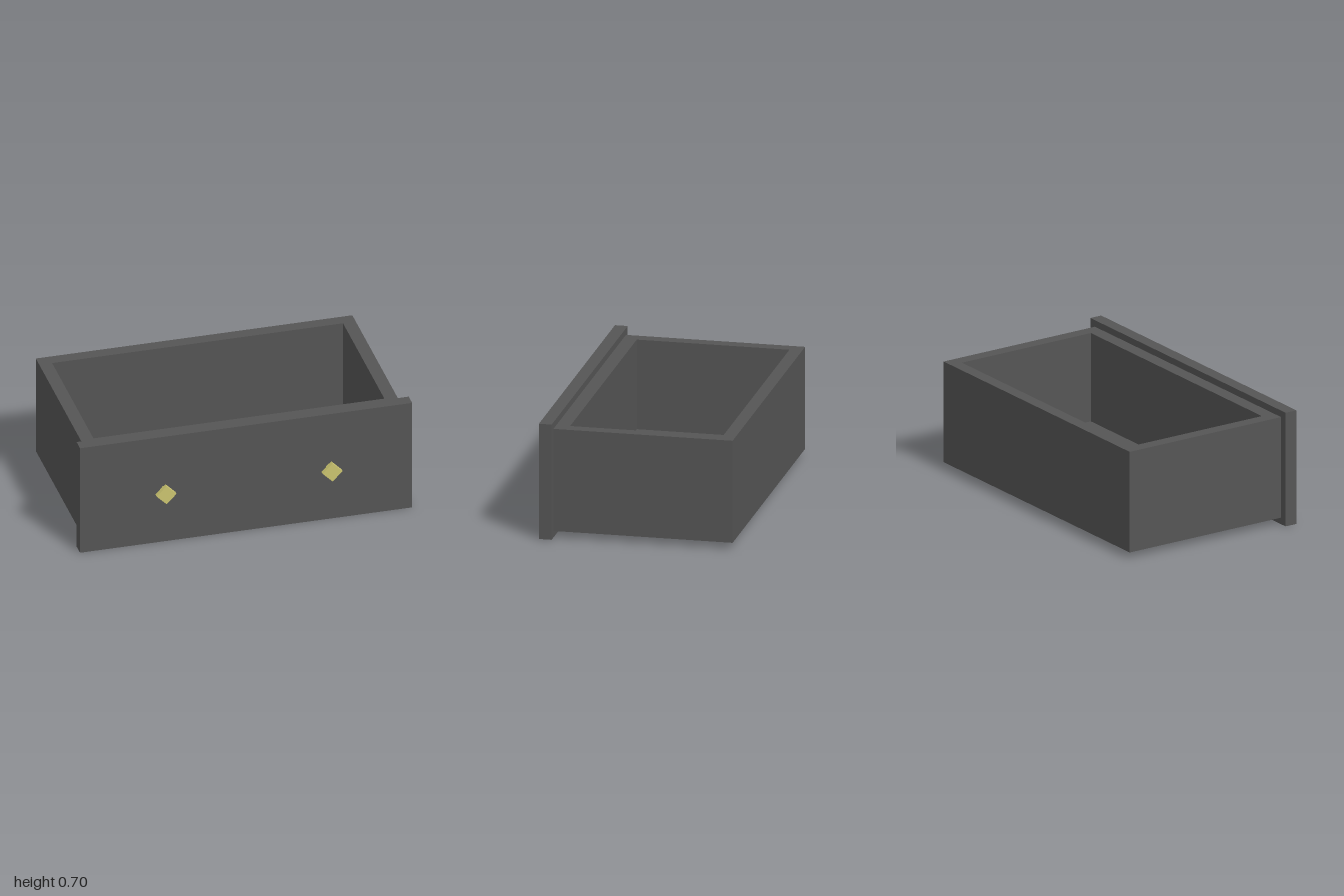
import * as THREE from 'three';

export function createModel() {
  const model = new THREE.Group();
  model.name = 'drawer';
  const grey = new THREE.MeshStandardMaterial({ color: 0x555555 });
  grey.name = 'dark grey';
  const brass = new THREE.MeshStandardMaterial({ color: 0xcbc470 });
  brass.name = 'pale brass';
  brass.flatShading = true;

  const add = (parent, name, geometry, material, x, y, z) => {
    const mesh = new THREE.Mesh(geometry, material);
    mesh.name = name;
    mesh.position.set(x, y, z);
    parent.add(mesh);
    return mesh;
  };
  const rectangle = (path, x, y0, y1) => path
    .moveTo(-x, y0).lineTo(x, y0).lineTo(x, y1).lineTo(-x, y1).closePath();

  // Four walls as one rectangular ring, extruded upwards
  const ring = rectangle(new THREE.Shape(), 0.953, -0.457, 0.61);
  ring.holes.push(rectangle(new THREE.Path(), 0.876, -0.375, 0.534));
  const walls = new THREE.ExtrudeGeometry(ring, { depth: 0.62, bevelEnabled: false });
  walls.rotateX(-Math.PI / 2);
  add(model, 'walls', walls, grey, 0, 0.04, 0);

  // Floor fitted between the walls
  add(model, 'floor', new THREE.BoxGeometry(1.752, 0.076, 0.909), grey, 0, 0.078, -0.0795);

  // Overhanging front panel
  add(model, 'frontPanel', new THREE.BoxGeometry(2, 0.7, 0.076), grey, 0, 0.35, 0.495);

  // Diamond-shaped knobs on square stems
  const prism = (radius, length) =>
    new THREE.CylinderGeometry(radius, radius, length, 4).rotateX(Math.PI / 2);
  for (const side of [-1, 1]) {
    const knob = new THREE.Group();
    knob.name = side > 0 ? 'leftKnob' : 'rightKnob';
    knob.position.set(side * 0.5, 0.352, 0);
    add(knob, 'knobStem', prism(0.02, 0.051), brass, 0, 0, 0.5585);
    add(knob, 'knobHead', prism(0.06, 0.026), brass, 0, 0, 0.597);
    model.add(knob);
  }
  return model;
}
